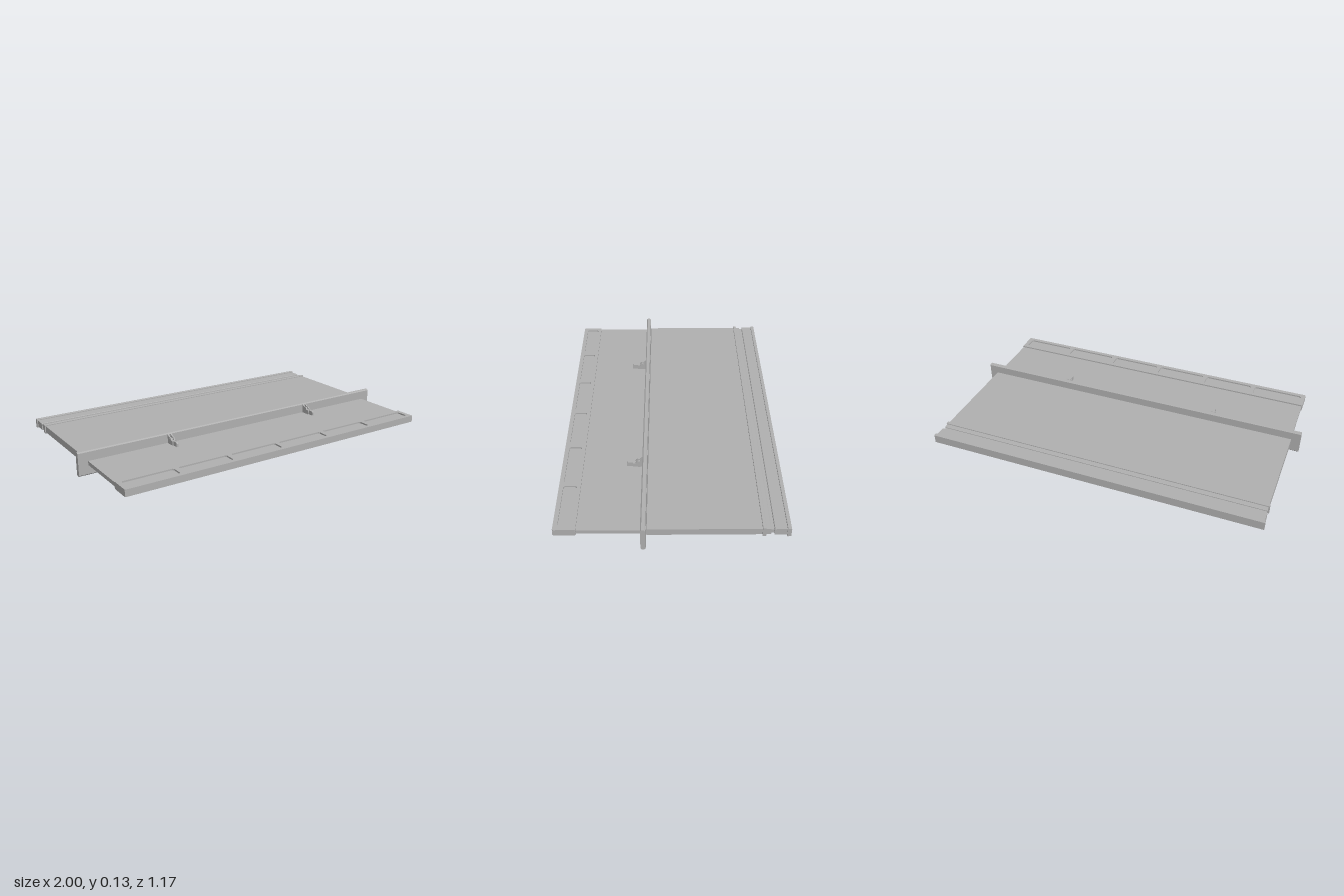
import * as THREE from 'three';

const MID = 0.071; // height of the plane of symmetry

export function createModel() {
  const group = new THREE.Group();
  const grey = new THREE.MeshStandardMaterial({ color: 0xb0b0b0 });
  grey.name = 'grey';

  function add(name, geometry) {
    const mesh = new THREE.Mesh(geometry, grey);
    mesh.name = name;
    group.add(mesh);
    return mesh;
  }

  // Extrude a (z, height above mid-plane) half profile, mirrored, along x
  function bar(name, half, width, x = 0) {
    const pts = [...half, ...half.slice().reverse().map(([z, h]) => [z, -h])];
    const shape = new THREE.Shape(pts.map(([z, h]) => new THREE.Vector2(z, h)));
    const geo = new THREE.ExtrudeGeometry(shape, { depth: width, bevelEnabled: false });
    geo.translate(0, 0, -width / 2);
    geo.rotateY(-Math.PI / 2);
    geo.translate(x, MID, 0);
    return add(name, geo);
  }

  // Chamfered rectangular profile between z0 and z1, half height h
  const chamfer = (z0, z1, h, c) => [[z0, h - c], [z0 + c, h], [z1 - c, h], [z1, h - c]];

  // Rear panel with its ridges and groove
  bar('rearPanel', chamfer(-0.488, 0.128, 0.019, 0.004), 1.894);
  bar('rearRidge', chamfer(-0.463, -0.445, 0.026, 0.002), 1.905);
  bar('rearGrooveCore', [[-0.51, 0.011], [-0.48, 0.011]], 1.89);
  bar('rearRail', chamfer(-0.57, -0.503, 0.019, 0.003), 1.9);
  bar('rearLip', chamfer(-0.586, -0.566, 0.026, 0.002), 1.91);

  // Thin front board
  bar('frontBoard', [[0.12, 0.011], [0.48, 0.011]], 1.888);

  // Upright flange with softened edges
  bar('flange', chamfer(0.129, 0.155, 0.066, 0.006), 1.996);

  // Front bar: solid core with a windowed frame above and below
  const z0 = 0.473, z1 = 0.587, frameT = 0.008;
  bar('frontBarCore', [[z0, 0.011], [z1, 0.011]], 1.896);
  const rect = (Path, x0, x1, a, b, r) => {
    const p = new Path();
    p.moveTo(x0 + r, a).lineTo(x1 - r, a).lineTo(x1, a + r).lineTo(x1, b - r);
    p.lineTo(x1 - r, b).lineTo(x0 + r, b).lineTo(x0, b - r).lineTo(x0, a + r).closePath();
    return p;
  };
  const frame = rect(THREE.Shape, -0.948, 0.948, z0, z1, 0.004);
  for (let i = 0; i < 6; i++) {
    const cx = (i - 2.5) * 0.312;
    frame.holes.push(rect(THREE.Path, cx - 0.142, cx + 0.142, 0.493, 0.564, 0.008));
  }
  for (const side of [1, -1]) {
    const geo = new THREE.ExtrudeGeometry(frame, { depth: frameT, bevelEnabled: false });
    geo.rotateX(Math.PI / 2); // shape y becomes z, depth runs down
    geo.translate(0, MID + (side > 0 ? 0.019 : -0.011), 0);
    add(side > 0 ? 'frontBarTopFrame' : 'frontBarBottomFrame', geo);
  }

  // Pairs of bracket cheeks around a central tongue
  const cheek = [[0.15, 0.064], [0.168, 0.05], [0.182, 0.049], [0.192, 0.036], [0.206, 0.036]];
  const tongue = [[0.15, 0.034], [0.232, 0.036], [0.239, 0.03]];
  for (const x of [-0.469, 0.469]) {
    for (const s of [-1, 1]) bar('bracketCheek', cheek, 0.007, x + s * 0.009);
    bar('bracketTongue', tongue, 0.011, x);
    bar('bracketPin', chamfer(0.165, 0.18, 0.044, 0.004), 0.026, x);
  }
  return group;
}
